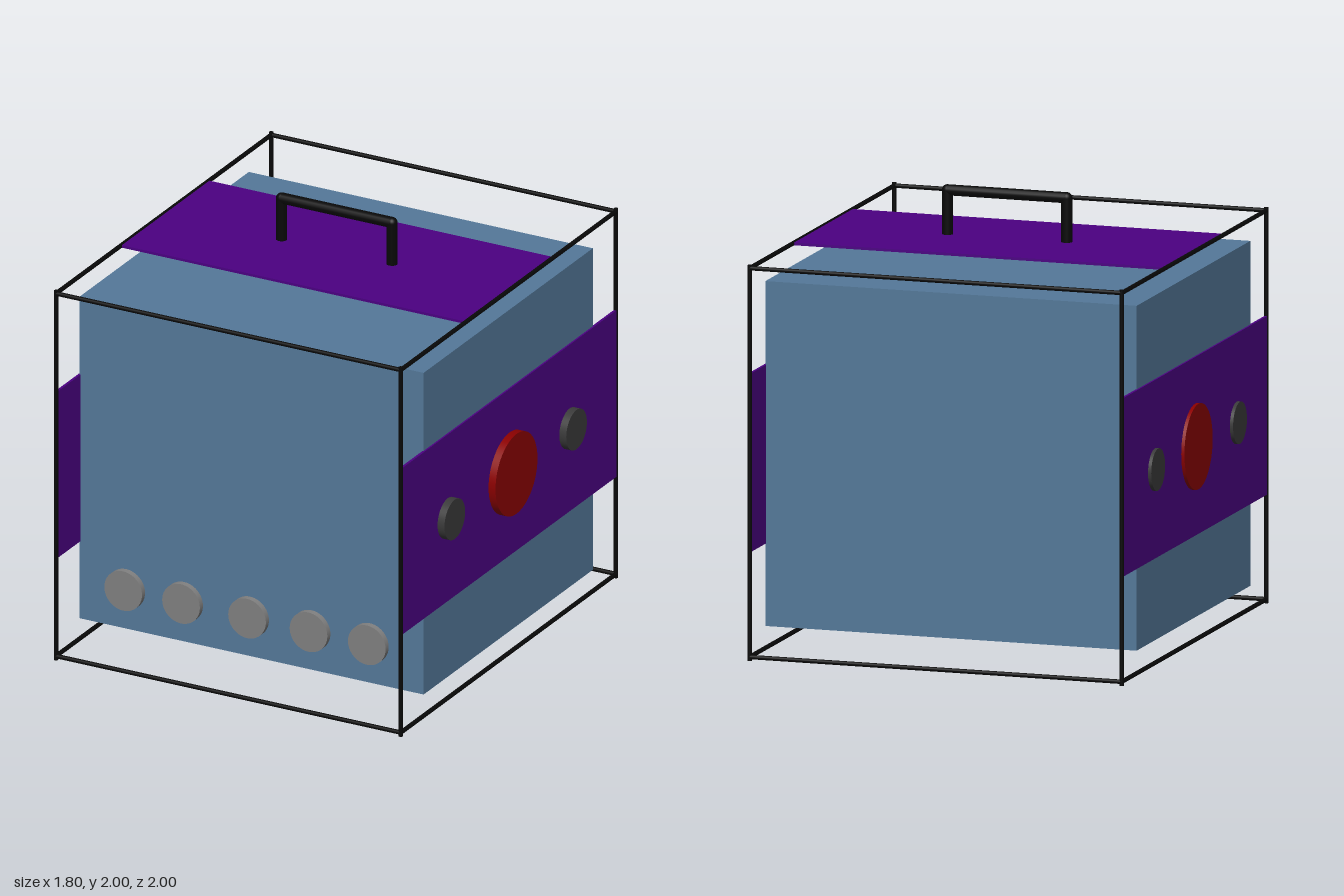
import * as THREE from 'three';

export function createModel() {
  const model = new THREE.Group();
  const paint = (color) => new THREE.MeshStandardMaterial({ color });
  const black = paint(0x080808), blue = paint(0x547899), purple = paint(0x4b0082);
  const red = paint(0x8b0000), charcoal = paint(0x3a3a3a), grey = paint(0x808080);

  const add = (name, geometry, material, x, y, z) => {
    const mesh = new THREE.Mesh(geometry, material);
    mesh.name = name;
    mesh.position.set(x, y, z);
    model.add(mesh);
    return mesh;
  };
  const box = (name, material, w, h, d, x, y, z) =>
    add(name, new THREE.BoxGeometry(w, h, d), material, x, y, z);

  // Round bar between two points
  const rod = (name, a, b, r) => {
    const from = new THREE.Vector3(...a), to = new THREE.Vector3(...b);
    const dir = to.clone().sub(from), mid = from.clone().add(to).multiplyScalar(0.5);
    const mesh = add(name, new THREE.CylinderGeometry(r, r, dir.length(), 16), black, mid.x, mid.y, mid.z);
    mesh.quaternion.setFromUnitVectors(new THREE.Vector3(0, 1, 0), dir.normalize());
  };

  const x0 = -0.882, x1 = 0.857, y0 = 0.017, y1 = 1.77, z1 = 0.989, cx = (x0 + x1) / 2;

  // Inner body
  box('body', blue, x1 - x0 - 0.004, 1.555, 1.555, cx, 0.895, -0.002);

  // Open outer frame
  for (const y of [y0, y1]) {
    for (const z of [-z1, z1]) rod('frameWidthBar', [x0, y, z], [x1, y, z], 0.01);
    for (const x of [x0, x1]) rod('frameDepthBar', [x, y, -z1], [x, y, z1], 0.01);
  }
  for (const x of [x0, x1])
    for (const z of [-z1, z1]) rod('framePost', [x, 0, z], [x, y1 + 0.014, z], 0.01);

  // Panels spanning the frame on top and both sides
  box('topPanel', purple, x1 - x0, 0.012, 0.805, cx, y1, -0.004);
  for (const x of [x0, x1]) box('sidePanel', purple, 0.012, 0.805, 2 * z1 - 0.01, x, 0.893, 0);

  // Discs on the side panels
  const sideDisc = (name, material, r, z) => {
    for (const [inner, outer] of [[x0 + 0.01, -0.903], [x1 - 0.01, 0.898]]) {
      const disc = add(name, new THREE.CylinderGeometry(r, r, Math.abs(outer - inner), 48),
        material, (inner + outer) / 2, 0.893, z);
      disc.rotation.z = Math.PI / 2;
    }
  };
  sideDisc('largeSideDisc', red, 0.193, 0);
  sideDisc('smallSideDisc', charcoal, 0.095, 0.567);
  sideDisc('smallSideDisc', charcoal, 0.095, -0.552);

  // Row of front buttons
  for (const x of [-0.645, -0.353, -0.02, 0.29, 0.584]) {
    const button = add('frontButton', new THREE.CylinderGeometry(0.095, 0.095, 0.04, 48), grey, x, 0.31, 0.784);
    button.rotation.x = Math.PI / 2;
  }

  // Carrying handle
  const hx0 = -0.287, hx1 = 0.27, hy = 1.975, r = 0.025;
  rod('handleGrip', [hx0, hy, 0], [hx1, hy, 0], r);
  for (const x of [hx0, hx1]) {
    rod('handlePost', [x, y1, 0], [x, hy, 0], r);
    add('handleCorner', new THREE.SphereGeometry(r, 20, 14), black, x, hy, 0);
  }

  return model;
}
